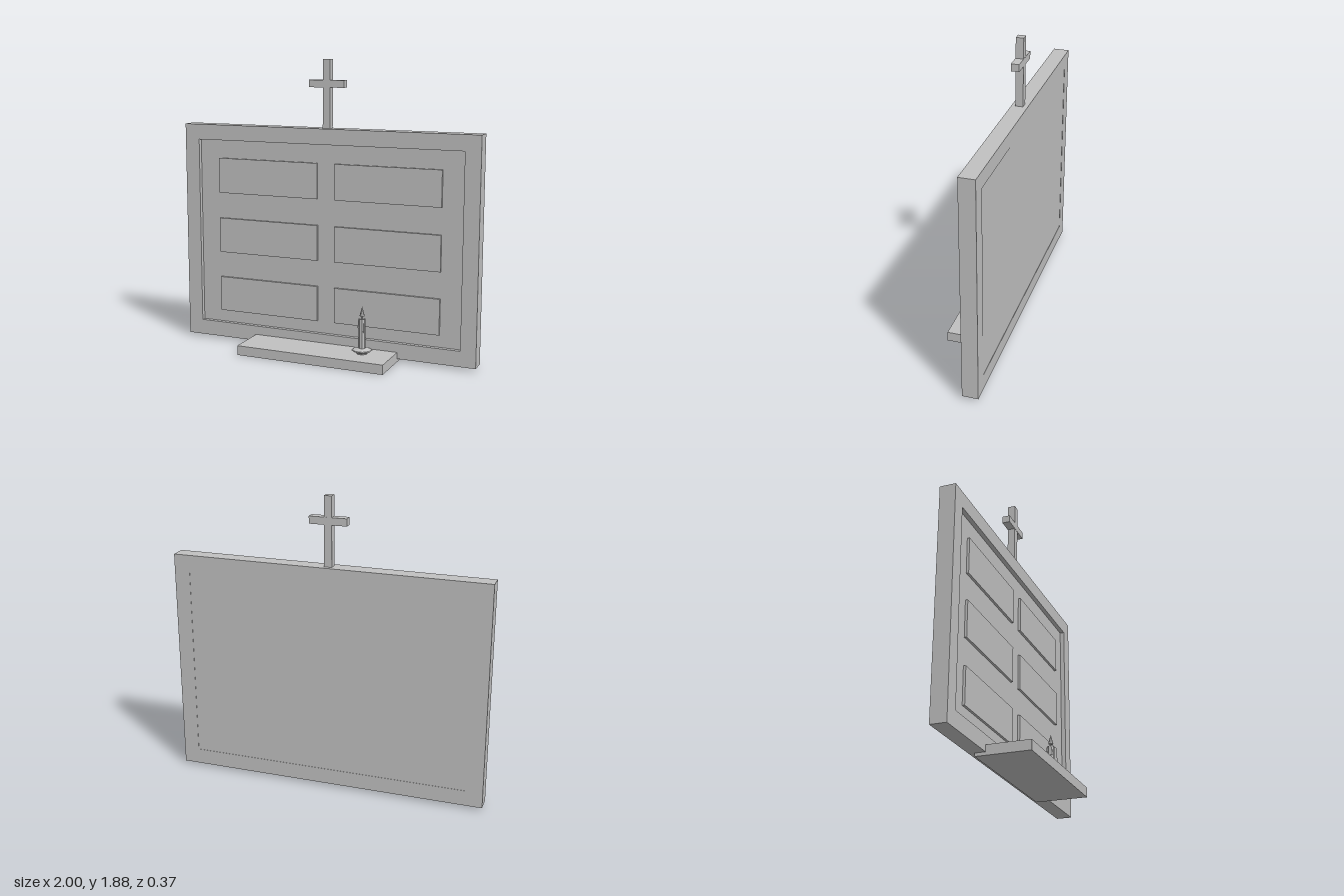
import * as THREE from 'three';

export function createModel() {
  const model = new THREE.Group();
  model.name = 'memorialBoard';
  const grey = new THREE.MeshStandardMaterial({ color: 0xc0c0c0 });
  grey.name = 'stone grey';

  const add = (name, geometry, parent = model) => {
    const mesh = new THREE.Mesh(geometry, grey);
    mesh.name = name;
    parent.add(mesh);
    return mesh;
  };
  // Box given by its lower and upper limits on each axis
  const box = (name, [x0, x1], [y0, y1], [z0, z1], parent) => {
    const mesh = add(name, new THREE.BoxGeometry(x1 - x0, y1 - y0, z1 - z0), parent);
    mesh.position.set((x0 + x1) / 2, (y0 + y1) / 2, (z0 + z1) / 2);
    return mesh;
  };
  // Faceted turned part from radius/height pairs
  const turned = (name, profile, sides, parent) => {
    const geometry = new THREE.LatheGeometry(profile.map(([r, y]) => new THREE.Vector2(r, y)), sides, Math.PI / sides)
      .toNonIndexed();
    geometry.computeVertexNormals();
    return add(name, geometry, parent);
  };

  // Frame: two full-height stiles joined by two rails
  const depth = [-0.185, -0.085];
  box('leftStile', [0.9, 1], [0.02, 1.45], depth);
  box('rightStile', [-1, -0.9], [0.02, 1.45], depth);
  box('topRail', [-0.9, 0.9], [1.35, 1.45], depth);
  box('bottomRail', [-0.9, 0.9], [0.02, 0.12], depth);

  // Recessed board, nearly flush with the back
  box('backBoard', [-0.9, 0.9], [0.12, 1.35], [-0.183, -0.113]);

  // Six raised plaques in two columns
  for (const x of [-0.41, 0.41]) {
    for (const y of [0.2, 0.6, 1.0]) {
      box('plaque', [x - 0.35, x + 0.35], [y, y + 0.23], [-0.113, -0.098]);
    }
  }

  // Shelf running under the frame
  box('shelf', [-0.495, 0.495], [0, 0.062], [-0.15, 0.185]);

  // Cross on top
  const cross = new THREE.Group();
  cross.name = 'cross';
  model.add(cross);
  box('crossPost', [-0.024, 0.024], [1.45, 1.88], [-0.157, -0.109], cross);
  box('crossBar', [-0.118, 0.118], [1.706, 1.752], [-0.158, -0.108], cross);

  // Candle in a small dish
  const candle = new THREE.Group();
  candle.name = 'candle';
  candle.position.set(0.297, 0.062, 0.018);
  model.add(candle);
  turned('candleDish', [[0, 0], [0.035, 0], [0.04, 0.01], [0.065, 0.02], [0.062, 0.026], [0.03, 0.036], [0, 0.036]], 8, candle);
  turned('candleStick', [[0, 0.034], [0.024, 0.034], [0.022, 0.225], [0.014, 0.222], [0, 0.218]], 8, candle);
  turned('wick', [[0.003, 0.215], [0.003, 0.25]], 6, candle);
  turned('flame', [[0, 0.235], [0.016, 0.242], [0.01, 0.268], [0, 0.302]], 8, candle);

  // Wax runs down the side of the candle
  for (const [angle, y, length] of [[0.6, 0.17, 0.06], [2.6, 0.19, 0.05], [4.5, 0.18, 0.08]]) {
    const drip = add('waxDrip', new THREE.CylinderGeometry(0.004, 0.006, length, 6), candle);
    drip.position.set(Math.cos(angle) * 0.022, y, Math.sin(angle) * 0.022);
  }
  return model;
}
